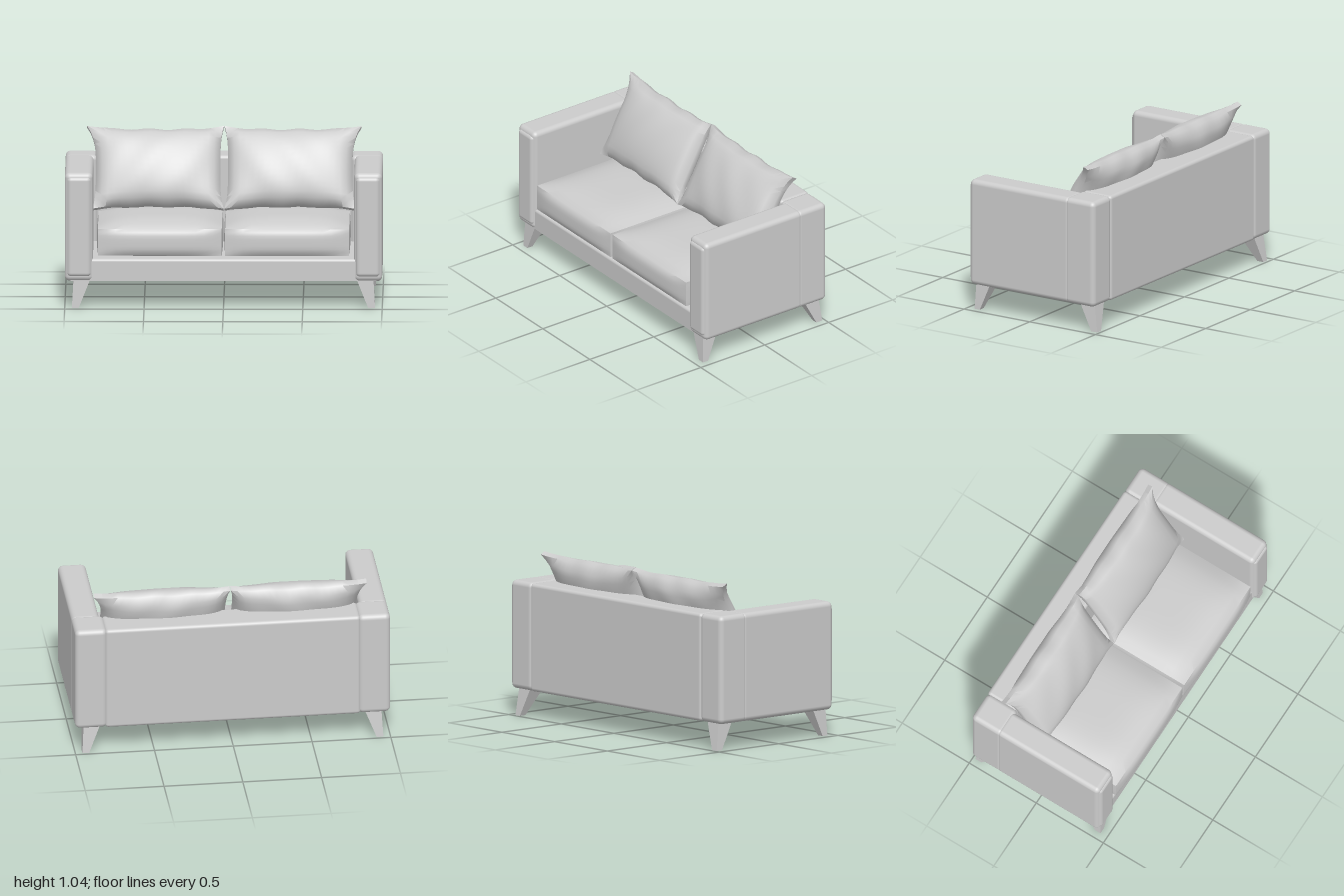
import * as THREE from 'three';
import { toCreasedNormals } from 'three/addons/utils/BufferGeometryUtils.js';
import { RoundedBoxGeometry } from 'three/addons/geometries/RoundedBoxGeometry.js';

const fabric = new THREE.MeshStandardMaterial({ color: 0xcccccc });

// Moves every vertex of a geometry by a rule, then rebuilds its normals
function deform(geometry, rule, crease = 0.7) {
  const pos = geometry.attributes.position;
  const p = new THREE.Vector3();
  for (let i = 0; i < pos.count; i++) {
    p.fromBufferAttribute(pos, i);
    rule(p);
    pos.setXYZ(i, p.x, p.y, p.z);
  }
  return toCreasedNormals(geometry, crease);
}

function add(group, name, geometry) {
  const mesh = new THREE.Mesh(geometry, fabric);
  mesh.name = name;
  group.add(mesh);
  return mesh;
}

// Rounded block given by its limits on each axis
function block(group, name, [x0, x1], [y0, y1], [z0, z1], r) {
  const mesh = add(group, name, new RoundedBoxGeometry(x1 - x0, y1 - y0, z1 - z0, 3, r));
  mesh.position.set((x0 + x1) / 2, (y0 + y1) / 2, (z0 + z1) / 2);
  return mesh;
}

// Seat cushion: a box whose faces swell away from the seams
function seatGeometry() {
  const half = { x: 0.39, y: 0.085, z: 0.38 };
  const swell = (a, b) => (1 - a ** 4) * (1 - b ** 4);
  return deform(new THREE.BoxGeometry(2, 2, 2, 14, 8, 14), (p) => {
    const { x, y, z } = p;
    const face = (v) => (Math.abs(v) > 0.999 ? Math.sign(v) : 0);
    p.x = x * half.x + face(x) * 0.008 * swell(y, z);
    p.y = y * half.y + face(y) * (y > 0 ? 0.055 : 0.02) * swell(x, z);
    p.z = z * half.z + face(z) * 0.022 * swell(x, y);
  });
}

// Back pillow: pinched edges, drawn-out corners, full middle
function pillowGeometry() {
  return deform(new THREE.BoxGeometry(2, 2, 2, 20, 14, 1), (p) => {
    const { x: u, y: v, z: s } = p;
    const full = Math.pow((1 - u * u) * (1 - v * v), 0.5);
    const ear = u > 0 && v > 0 ? 0.035 * u ** 4 * v ** 3 : 0;
    const ripple = 0.006 * Math.sin(u * 11) * Math.abs(v) ** 6 * (1 - u * u);
    p.x = u * (0.392 + 0.022 * v ** 4) + ear;
    p.y = v * (0.255 + 0.022 * u ** 4) + ripple;
    p.z = s * (0.018 + 0.1 * full + 0.004 * Math.sin(u * 9 + v * 4) * full);
  }, 0.9);
}

// Splayed tapering leg, built for the +x side; front is 1 or -1
function legGeometry(front) {
  const top = { x: [0.84, 0.945], z: front > 0 ? [0.335, 0.442] : [-0.458, -0.343] };
  const foot = { x: [0.912, 0.955], z: front > 0 ? [0.41, 0.45] : [-0.483, -0.437] };
  return deform(new THREE.BoxGeometry(2, 2, 2), (p) => {
    const end = p.y > 0 ? top : foot;
    p.set(end.x[p.x > 0 ? 1 : 0], p.y > 0 ? 0.18 : 0, end.z[p.z > 0 ? 1 : 0]);
  }, 0.3);
}

export function createModel() {
  const sofa = new THREE.Group();
  sofa.name = 'sofa';

  // Frame: seat rail, flat underside and backrest
  block(sofa, 'seatBase', [-0.86, 0.86], [0.17, 0.312], [-0.45, 0.45], 0.018);
  const underside = add(sofa, 'underside', new THREE.BoxGeometry(1.93, 0.04, 0.9));
  underside.position.y = 0.192;
  block(sofa, 'backrest', [-0.81, 0.81], [0.17, 0.858], [-0.488, -0.27], 0.022);

  const seat = seatGeometry();
  const pillow = pillowGeometry();
  for (const side of [1, -1]) {
    const prefix = side > 0 ? 'left' : 'right';
    const span = (a, b) => (side > 0 ? [a, b] : [-b, -a]);

    // Arm with a padded front panel, and the corner post behind it
    block(sofa, prefix + 'Arm', span(0.823, 1), [0.17, 0.86], [-0.3, 0.462], 0.032);
    block(sofa, prefix + 'ArmFrontPad', span(0.835, 0.985), [0.2, 0.835], [0.41, 0.474], 0.025);
    block(sofa, prefix + 'BackCorner', span(0.797, 1), [0.17, 0.86], [-0.487, -0.262], 0.032);

    const cushion = add(sofa, prefix + 'SeatCushion', seat);
    cushion.position.set(side * 0.401, 0.42, 0.082);

    // Pillow leaning on the backrest; the right one is turned into a mirror image
    const mirror = new THREE.Group();
    mirror.name = prefix + 'PillowSide';
    mirror.scale.x = side;
    const lean = add(mirror, prefix + 'BackPillow', pillow);
    lean.position.set(0.416, 0.788, -0.2);
    lean.rotation.x = -0.5;
    sofa.add(mirror);

    // Legs
    for (const front of [1, -1]) {
      const leg = add(sofa, prefix + (front > 0 ? 'FrontLeg' : 'RearLeg'), legGeometry(front));
      leg.scale.x = side;
    }
  }
  return sofa;
}
